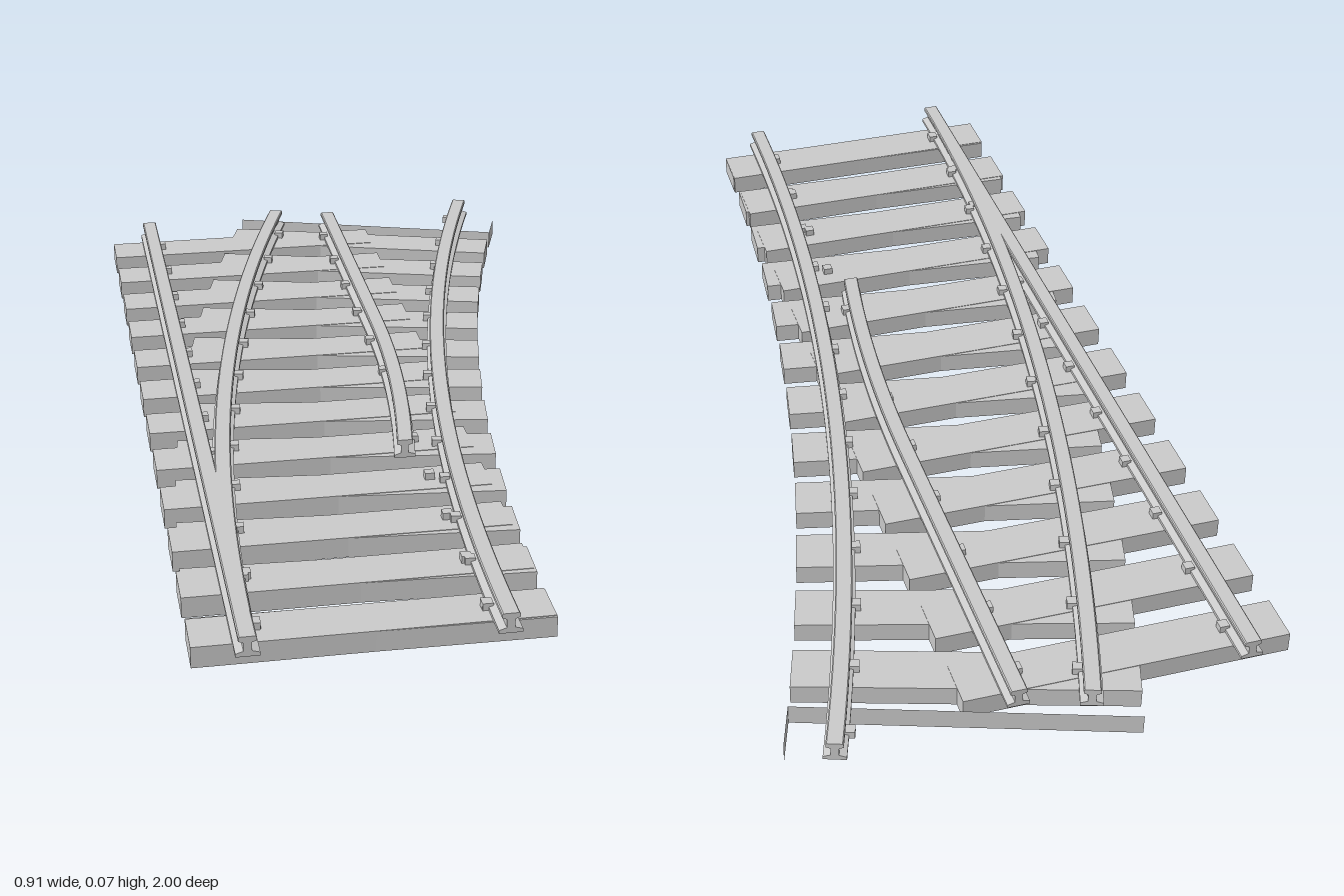
import * as THREE from 'three';

const MID = -0.162;      // track centre line at the front end
const GAUGE = 0.2115;    // half distance between rail centres
const RADIUS = 6.2;      // radius of the diverging track
const FIRST = 0.087, STEP = 0.1594;
const SLEEPER = { w: 0.597, h: 0.038, d: 0.09 };

export function createModel() {
  const group = new THREE.Group();
  const mat = new THREE.MeshStandardMaterial({ color: 0xcccccc });
  const thin = new THREE.MeshStandardMaterial({ color: 0xcccccc, side: THREE.DoubleSide });

  const add = (name, geo, parent = group, material = mat) => {
    const m = new THREE.Mesh(geo, material);
    m.name = name;
    parent.add(m);
    return m;
  };

  // Track lines: distance s from the front and sideways offset u give [x, z]
  const straight = (s, u) => [MID + u, 1 - s];
  const diverging = (s, u) => {
    const a = s / RADIUS;
    return [MID + RADIUS * (1 - Math.cos(a)) + u * Math.cos(a),
      1 - RADIUS * Math.sin(a) + u * Math.sin(a)];
  };
  // Straight line whose front end bends inwards as a switch blade
  const blade = (s, u) => {
    const t = Math.max(0, (1.25 - s) / 0.6);
    return [MID + u - 0.05 * t * t, 1 - s];
  };

  // Rail section: wide foot, narrow web, rounded-off head
  const half = [[0.02, 0.038], [0.02, 0.044], [0.007, 0.048], [0.007, 0.063],
    [0.015, 0.066], [0.015, 0.072], [0.013, 0.074]];
  const section = new THREE.Shape([
    ...half.map(([x, y]) => new THREE.Vector2(x, y)),
    ...half.slice().reverse().map(([x, y]) => new THREE.Vector2(-x, y)),
  ]);

  // Extrude the section and bend it along a track line
  const rail = (name, line, offset, from, to) => {
    const geo = new THREE.ExtrudeGeometry(section, { depth: to - from, steps: 36, bevelEnabled: false });
    const p = geo.attributes.position;
    for (let i = 0; i < p.count; i++) {
      const [x, z] = line(to - p.getZ(i), offset + p.getX(i));
      p.setXYZ(i, x, p.getY(i), z);
    }
    geo.computeVertexNormals();
    add(name, geo);
  };
  rail('straightOuterRail', straight, -GAUGE, 0, 1.92);
  rail('straightInnerRail', blade, GAUGE, 0.655, 1.92);
  rail('curvedInnerRail', diverging, -GAUGE, 0.08, 1.92);
  rail('curvedOuterRail', diverging, GAUGE, 0, 2.06);

  // Put an object on a track line, turned with it
  const place = (obj, line, s, u, y) => {
    const [x, z] = line(s, u);
    obj.position.set(x, y, z);
    if (line === diverging) obj.rotation.y = -s / RADIUS;
  };

  const sleeperGeo = new THREE.BoxGeometry(SLEEPER.w, SLEEPER.h, SLEEPER.d);
  const lowSleeperGeo = new THREE.BoxGeometry(SLEEPER.w, SLEEPER.h - 0.001, SLEEPER.d);
  const boltGeo = new THREE.BoxGeometry(0.018, 0.014, 0.018);

  // Sleepers of both tracks, each with bolts on the inner side of the rails
  for (let i = 0; i < 13; i++) {
    const s = FIRST + i * STEP;
    if (i < 12) {
      place(add('straightSleeper', sleeperGeo), straight, s, 0, SLEEPER.h / 2);
      place(add('curvedSleeper', lowSleeperGeo), diverging, s, 0, (SLEEPER.h - 0.001) / 2);
    }
    for (const side of [-1, 1]) {
      const u = side * (GAUGE - 0.021);
      if (i < 12) place(add('straightBolt', boltGeo), straight, s, u, 0.044);
      if (side > 0 || s < 1.92) place(add('curvedBolt', boltGeo), diverging, s, u, 0.044);
    }
  }

  // Open end sleeper: only its front board and one end board
  const end = new THREE.Group();
  end.name = 'openEndSleeper';
  add('frontBoard', new THREE.PlaneGeometry(SLEEPER.w, SLEEPER.h), end, thin).position.z = SLEEPER.d / 2;
  const cap = add('endBoard', new THREE.PlaneGeometry(SLEEPER.d, SLEEPER.h), end, thin);
  cap.rotation.y = Math.PI / 2;
  cap.position.x = SLEEPER.w / 2;
  place(end, diverging, 1.985, 0, SLEEPER.h / 2);
  group.add(end);

  return group;
}
